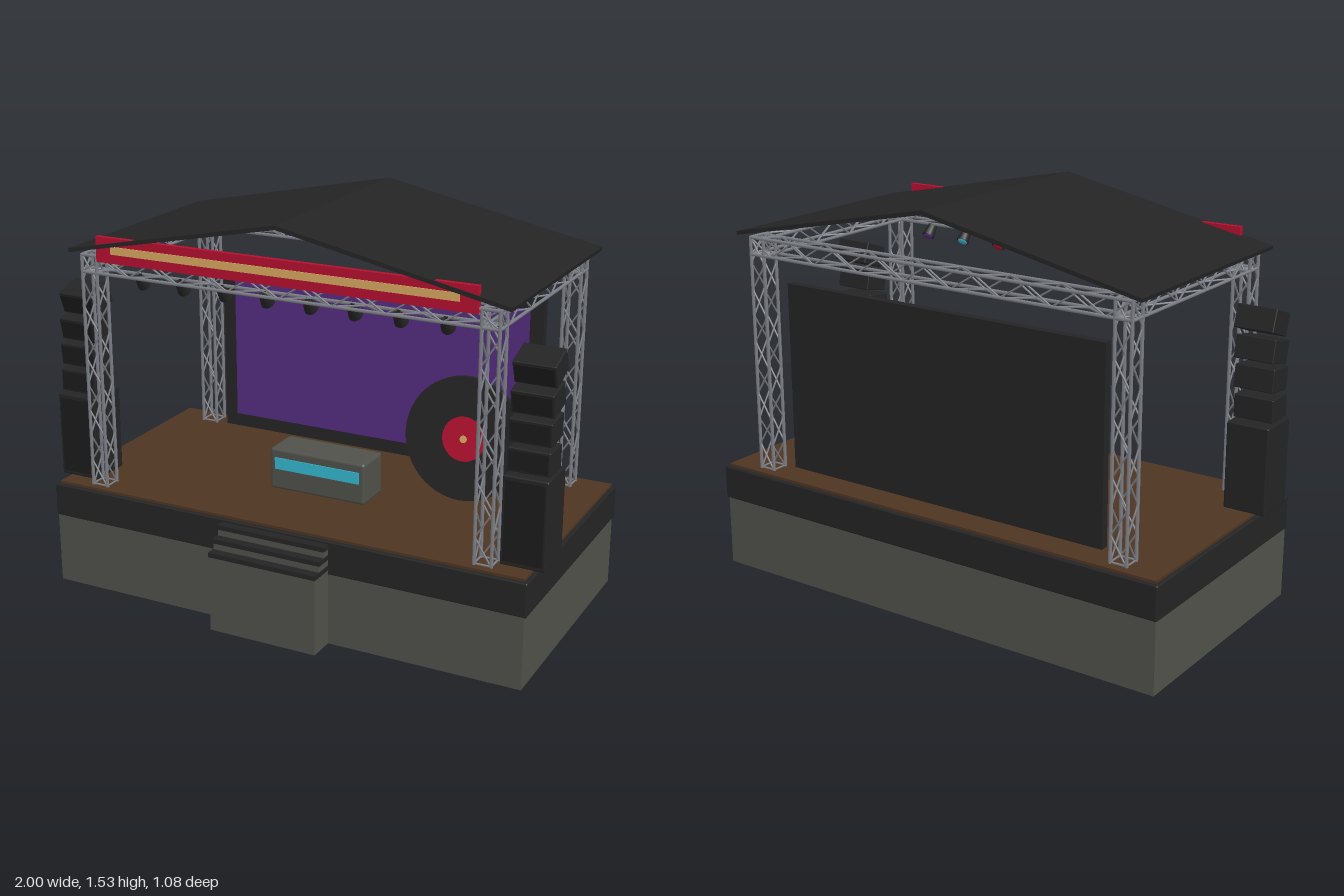
import * as THREE from 'three';
import { mergeGeometries } from 'three/addons/utils/BufferGeometryUtils.js';
import { RoundedBoxGeometry } from 'three/addons/geometries/RoundedBoxGeometry.js';

const mat = (name, color, side = THREE.FrontSide) => {
  const m = new THREE.MeshStandardMaterial({ color, side });
  m.name = name;
  return m;
};

export function createModel() {
  const black = mat('black', 0x242424);
  const grille = mat('grille', 0x1c1c1c);
  const stone = mat('warm grey', 0x50514a);
  const wood = mat('wood', 0x4e3522);
  const metal = mat('truss metal', 0x7c7f86);
  const red = mat('red', 0xb5102f);
  const gold = mat('gold', 0xd8a860);
  const purple = mat('purple', 0x552d80);
  const cyan = mat('cyan', 0x35b8d0);

  const model = new THREE.Group();
  model.name = 'concertStage';

  const add = (name, geometry, material, parent = model) => {
    const mesh = new THREE.Mesh(geometry, material);
    mesh.name = name;
    parent.add(mesh);
    return mesh;
  };
  // Box given by its limits on each axis
  const box = (name, material, [x0, x1], [y0, y1], [z0, z1], parent, radius = 0) => {
    const s = [x1 - x0, y1 - y0, z1 - z0];
    const geo = radius ? new RoundedBoxGeometry(...s, 2, radius) : new THREE.BoxGeometry(...s);
    const mesh = add(name, geo, material, parent);
    mesh.position.set((x0 + x1) / 2, (y0 + y1) / 2, (z0 + z1) / 2);
    return mesh;
  };

  // Platform
  box('base', stone, [-0.965, 0.965], [0, 0.28], [-0.533, 0.435]);
  box('deckFascia', black, [-0.972, 0.972], [0.275, 0.405], [-0.541, 0.436], model, 0.006);
  box('floor', wood, [-0.957, 0.957], [0.4, 0.415], [-0.526, 0.42]);

  // Front steps
  const steps = new THREE.Group();
  steps.name = 'steps';
  model.add(steps);
  for (let i = 0; i < 3; i++) {
    const z1 = 0.54 - i * 0.035, top = 0.313 + i * 0.041;
    box('stepBody', stone, [-0.218, 0.218], [0, top - 0.018], [0.43, z1 - 0.001], steps);
    box('stepTread', black, [-0.22, 0.22], [top - 0.018, top], [0.43, z1], steps);
  }

  // Round bar between two points
  const bar = (a, b, r) => {
    const dir = b.clone().sub(a);
    const geo = new THREE.CylinderGeometry(r, r, dir.length(), 6);
    geo.applyQuaternion(new THREE.Quaternion().setFromUnitVectors(
      new THREE.Vector3(0, 1, 0), dir.clone().normalize()));
    const mid = a.clone().add(b).multiplyScalar(0.5);
    return geo.translate(mid.x, mid.y, mid.z);
  };
  // Square box truss along y, with four chords and zigzag bracing
  const truss = (name, length, bays, crossed) => {
    const h = 0.032, step = length / bays, parts = [];
    const corners = [[-h, -h], [h, -h], [h, h], [-h, h]];
    const at = (k, y) => new THREE.Vector3(corners[k % 4][0], y, corners[k % 4][1]);
    for (let k = 0; k < 4; k++) {
      parts.push(bar(at(k, 0), at(k, length), 0.0065));
      for (const y of [0.004, length - 0.004]) parts.push(bar(at(k, y), at(k + 1, y), 0.004));
      for (let i = 0; i < bays; i++) {
        const flip = (i + (crossed ? 0 : k)) % 2;
        parts.push(bar(at(k + flip, i * step), at(k + 1 - flip, (i + 1) * step), 0.0035));
      }
    }
    return add(name, mergeGeometries(parts), metal);
  };

  // Towers and the truss ring on top
  const TX = 0.791, ZF = 0.358, ZB = -0.457, TY = 1.295;
  for (const z of [ZF, ZB]) {
    for (const s of [-1, 1]) truss('tower', 0.915, 9, true).position.set(s * TX, 0.415, z);
    const beam = truss('crossTruss', 1.65, 16, false);
    beam.rotation.z = -Math.PI / 2;
    beam.position.set(-0.825, TY, z);
  }
  for (const s of [-1, 1]) {
    const beam = truss('sideTruss', 0.88, 9, false);
    beam.rotation.x = Math.PI / 2;
    beam.position.set(s * TX, TY, -0.49);
  }

  // Thin gable roof
  const profile = new THREE.Shape([[-0.868, 1.334], [0, 1.51], [0.868, 1.334],
    [0.871, 1.348], [0, 1.526], [-0.871, 1.348]].map(p => new THREE.Vector2(...p)));
  const roof = new THREE.ExtrudeGeometry(profile, { depth: 0.92, bevelEnabled: false });
  add('roof', roof, black).position.z = -0.512;

  // Banner
  box('banner', red, [-0.75, 0.75], [1.31, 1.405], [0.382, 0.402]);
  box('bannerStripe', gold, [-0.685, 0.685], [1.345, 1.374], [0.4, 0.406]);

  // Stage lights aimed back and down
  const lensColours = [cyan, purple, red];
  for (let i = 0; i < 8; i++) {
    const light = new THREE.Group();
    light.name = 'stageLight';
    light.position.set((i - 3.5) * 0.1735, 1.236, 0.322);
    model.add(light);
    box('clamp', black, [-0.007, 0.007], [0, 0.03], [-0.002, 0.012], light);
    const head = new THREE.Group();
    head.name = 'lightHead';
    head.rotation.x = 0.7;
    light.add(head);
    add('housing', new THREE.CylinderGeometry(0.018, 0.026, 0.05, 16), black, head);
    const lens = add('lens', new THREE.SphereGeometry(0.021, 16, 10), lensColours[i % 3], head);
    lens.position.y = -0.024;
    lens.scale.y = 0.5;
  }

  // Video screen
  box('screenFrame', black, [-0.695, 0.695], [0.428, 1.158], [-0.437, -0.405]);
  box('screenPanel', purple, [-0.64, 0.64], [0.483, 1.105], [-0.406, -0.4]);

  // Leaning record
  const record = new THREE.Group();
  record.name = 'record';
  record.position.set(0.518, 0.673, -0.09);
  record.rotation.x = Math.PI / 2 - 0.135;
  model.add(record);
  for (const [name, r, h, m] of [['disc', 0.235, 0.024, black],
    ['discLabel', 0.085, 0.03, red], ['discCentre', 0.014, 0.036, gold]]) {
    // Label and centre sit on the front face only
    add(name, new THREE.CylinderGeometry(r, r, name === 'disc' ? h : h / 2, 48), m, record)
      .position.y = name === 'disc' ? 0 : h / 4;
  }

  // Mixing desk
  box('desk', stone, [-0.2, 0.2], [0.413, 0.578], [-0.05, 0.105], model, 0.012);
  box('deskPanel', cyan, [-0.178, 0.178], [0.497, 0.543], [0.102, 0.109]);

  // Speaker stacks: subwoofer with four progressively tilted cabinets
  const cabinets = [[0.797, 0.268, 0], [0.905, 0.263, 0.1], [1.01, 0.257, 0.21], [1.117, 0.248, 0.335]];
  for (const s of [-1, 1]) {
    const stack = new THREE.Group();
    stack.name = s > 0 ? 'leftSpeakers' : 'rightSpeakers';
    stack.position.x = s * 0.9175;
    model.add(stack);
    box('subwoofer', black, [-0.0825, 0.0825], [0.413, 0.745], [0.174, 0.346], stack, 0.006);
    box('subwooferGrille', grille, [-0.072, 0.072], [0.43, 0.73], [0.342, 0.349], stack);
    for (const [y, z, tilt] of cabinets) {
      const cab = new THREE.Group();
      cab.name = 'arrayCabinet';
      cab.position.set(0, y, z);
      cab.rotation.x = tilt;
      stack.add(cab);
      box('cabinet', black, [-0.077, 0.077], [-0.043, 0.043], [-0.057, 0.057], cab, 0.004);
      box('cabinetGrille', grille, [-0.07, 0.07], [-0.035, 0.035], [0.054, 0.061], cab);
    }
  }

  return model;
}
